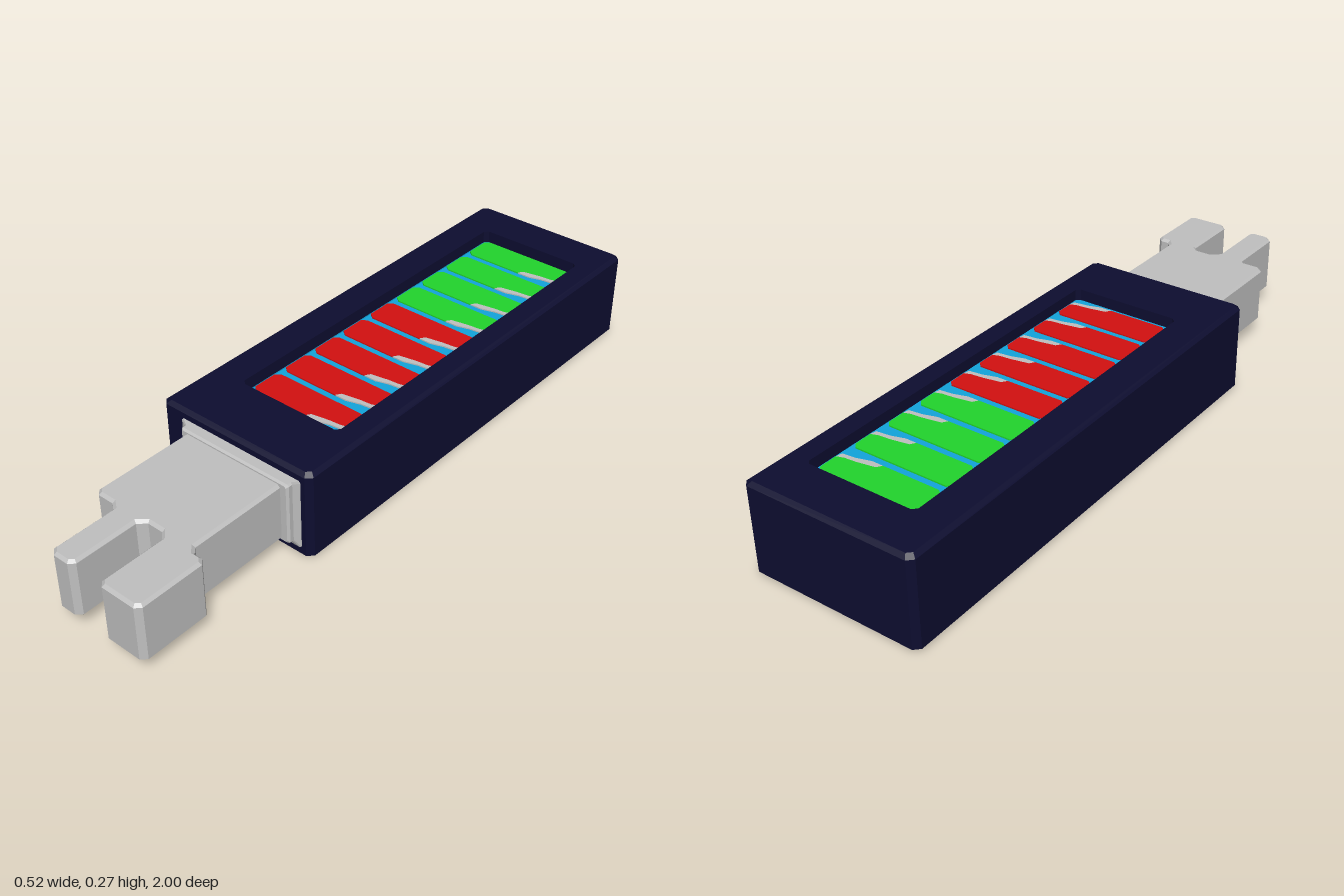
import * as THREE from 'three';

const mat = (name, color) => {
  const m = new THREE.MeshStandardMaterial({ color });
  m.name = name;
  return m;
};

// Rectangle with cut corners in the xz plane, counter-clockwise seen from above
function ring(x0, x1, z0, z1, cut, y) {
  return [
    [x1 - cut, z1], [x1, z1 - cut], [x1, z0 + cut], [x1 - cut, z0],
    [x0 + cut, z0], [x0, z0 + cut], [x0, z1 - cut], [x0 + cut, z1],
  ].map(([x, z]) => [x, y, z]);
}

// Flat-shaded skin through a stack of rings, closed at both ends
function loft(rings) {
  const pos = [];
  const tri = (a, b, c) => pos.push(...a, ...b, ...c);
  const n = rings[0].length;
  for (let i = 0; i + 1 < rings.length; i++) {
    for (let j = 0; j < n; j++) {
      const k = (j + 1) % n;
      tri(rings[i][j], rings[i][k], rings[i + 1][k]);
      tri(rings[i][j], rings[i + 1][k], rings[i + 1][j]);
    }
  }
  const first = rings[0], last = rings[rings.length - 1];
  for (let j = 1; j + 1 < n; j++) {
    tri(first[0], first[j + 1], first[j]);
    tri(last[0], last[j], last[j + 1]);
  }
  const g = new THREE.BufferGeometry();
  g.setAttribute('position', new THREE.Float32BufferAttribute(pos, 3));
  g.computeVertexNormals();
  return g;
}

// Outline given as [x, z], extruded downwards from height top
function slab(points, top, depth, bevel = 0) {
  const shape = new THREE.Shape(points.map(([x, z]) => new THREE.Vector2(x, z)));
  const g = new THREE.ExtrudeGeometry(shape, {
    depth: depth - 2 * bevel, bevelEnabled: bevel > 0, bevelThickness: bevel,
    bevelSize: bevel, bevelOffset: -bevel, bevelSegments: 1,
  });
  g.rotateX(Math.PI / 2);
  g.translate(0, top - bevel, 0);
  return g;
}

export function createModel() {
  const group = new THREE.Group();
  const navy = mat('navy', 0x0d0d30);
  const grey = mat('grey', 0xc0c0c0);
  const blue = mat('blue', 0x12a5dc);
  const green = mat('green', 0x22d52c);
  const red = mat('red', 0xd41010);
  const add = (name, geometry, material) => {
    const mesh = new THREE.Mesh(geometry, material);
    mesh.name = name;
    group.add(mesh);
    return mesh;
  };

  // Chamfered case with a sunken window in its top
  const c = 0.012;
  add('case', loft([
    ring(-0.26 + c, 0.26 - c, -1 + c, 0.45 - c, 0.012, 0),
    ring(-0.26, 0.26, -1, 0.45, 0.016, 0.01),
    ring(-0.26, 0.26, -1, 0.45, 0.016, 0.262),
    ring(-0.26 + c, 0.26 - c, -1 + c, 0.45 - c, 0.012, 0.272),
    ring(-0.152, 0.188, -0.86, 0.26, 0.012, 0.272),
    ring(-0.152, 0.188, -0.86, 0.26, 0.012, 0.232),
  ]), navy);

  // Display panel with sloping rim
  add('displayPanel', loft([
    ring(-0.15, 0.187, -0.858, 0.258, 0.012, 0.23),
    ring(-0.15, 0.187, -0.858, 0.258, 0.012, 0.236),
    ring(-0.138, 0.182, -0.845, 0.25, 0.01, 0.244),
  ]), blue);

  // Charge bars, each with a grey sliver at its front corner
  const barOutline = [
    [-0.12, 0], [0.165, 0], [0.176, 0.012], [0.176, 0.065], [0.155, 0.072],
    [0.12, 0.075], [0.065, 0.085], [0.055, 0.1], [-0.12, 0.1],
    [-0.135, 0.088], [-0.135, 0.012],
  ];
  const sliverOutline = [
    [0.176, 0.065], [0.172, 0.083], [0.13, 0.088], [0.09, 0.1],
    [0.055, 0.1], [0.065, 0.085], [0.12, 0.075], [0.155, 0.072],
  ];
  for (let i = 0; i < 9; i++) {
    const z = -0.84 + i * 0.1222;
    add('chargeBar', slab(barOutline, 0.248, 0.006), i < 4 ? green : red).position.z = z;
    add('barSliver', slab(sliverOutline, 0.248, 0.006), grey).position.z = z;
  }

  // Stepped collar where the connector leaves the case
  const collar = loft([
    ring(-0.185, 0.23, -0.245, -0.03, 0.005, 0.43),
    ring(-0.185, 0.23, -0.245, -0.03, 0.005, 0.452),
    ring(-0.168, 0.21, -0.235, -0.045, 0.005, 0.458),
    ring(-0.168, 0.21, -0.235, -0.045, 0.005, 0.47),
    ring(-0.162, 0.204, -0.23, -0.05, 0.005, 0.476),
  ]);
  collar.rotateX(Math.PI / 2);
  add('collar', collar, grey);

  // Connector shank with two prongs
  add('connector', slab([
    [-0.15, 0.4], [0.185, 0.4], [0.185, 0.768], [0.2, 0.785], [0.225, 0.785],
    [0.24, 0.8], [0.24, 0.985], [0.225, 1], [0.12, 1], [0.105, 0.985],
    [0.105, 0.8], [0.085, 0.78], [0.037, 0.78], [0.015, 0.8], [0.015, 0.985],
    [0, 1], [-0.047, 1], [-0.065, 0.985], [-0.065, 0.8], [-0.085, 0.785],
    [-0.135, 0.785], [-0.15, 0.77],
  ], 0.226, 0.177, 0.008), grey);

  return group;
}
